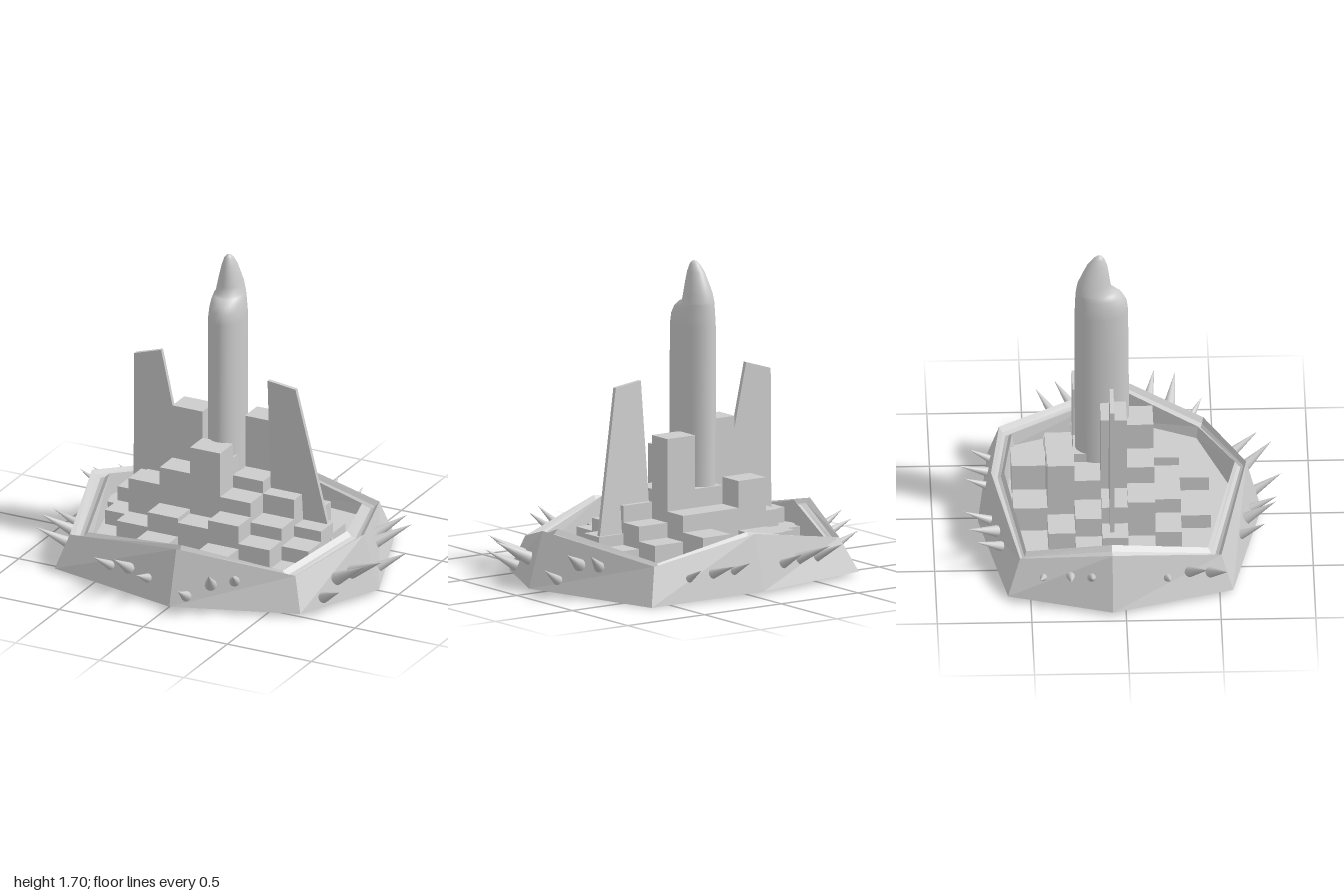
import * as THREE from 'three';

const mat = new THREE.MeshStandardMaterial({ color: 0xcccccc });
const flat = new THREE.MeshStandardMaterial({ color: 0xcccccc, flatShading: true, side: THREE.DoubleSide });

function add(parent, geometry, name, material = mat) {
  const mesh = new THREE.Mesh(geometry, material);
  mesh.name = name;
  parent.add(mesh);
  return mesh;
}

// Surface through a list of closed rings of [x, y, z] points
function loft(rings) {
  const n = rings[0].length, index = [];
  for (let r = 0; r < rings.length - 1; r++) {
    for (let i = 0; i < n; i++) {
      const a = r * n + i, b = r * n + (i + 1) % n;
      index.push(a, a + n, b, b, a + n, b + n);
    }
  }
  const g = new THREE.BufferGeometry();
  g.setAttribute('position', new THREE.Float32BufferAttribute(rings.flat(2), 3));
  g.setIndex(index);
  g.computeVertexNormals();
  return g;
}

// Eight-cornered base: outer foot, raised ridge, grooved rim, sunken floor
function makeBase() {
  const foot = [[-0.78, -0.62], [-0.06, -0.76], [0.62, -0.69], [0.9, 0.03], [0.68, 0.51], [0.02, 0.74], [-0.75, 0.57], [-0.95, -0.07]];
  const ridge = [[-0.7, -0.555], [-0.05, -0.69], [0.56, -0.63], [0.81, 0.03], [0.62, 0.45], [0.02, 0.66], [-0.69, 0.51], [-0.86, -0.07]];
  const inner = [[-0.63, -0.52], [-0.05, -0.62], [0.49, -0.565], [0.71, 0.03], [0.53, 0.42], [0.02, 0.6], [-0.62, 0.44], [-0.755, -0.07]];
  const top = i => (i % 2 ? 0.32 : 0.205);
  const rings = [
    foot.map(() => [0, 0.02, 0]),
    foot.map(([x, z], i) => [x, i === 2 ? 0 : 0.02, z]),
  ];
  for (let s = 0; s <= 4; s++) {
    const t = s / 4;
    rings.push(ridge.map(([x, z], i) => [
      x + (inner[i][0] - x) * t,
      top(i) - 0.035 * Math.sin(Math.PI * t),
      z + (inner[i][1] - z) * t,
    ]));
  }
  rings.push(inner.map(([x, z]) => [x * 0.98, 0.14, z * 0.98]));
  rings.push(inner.map(() => [0, 0.14, 0]));
  return loft(rings).toNonIndexed();
}

// Stepped blocks: heights by row (back to front) and column (right to left side)
const colEdges = [-0.66, -0.52, -0.335, -0.155, 0.025, 0.205, 0.39, 0.55];
const rowEdges = [-0.58, -0.4, -0.257, -0.118, 0.02, 0.165, 0.305, 0.465];
const heights = [
  [0, 0, 0.28, 0, 0.31, 0, 0],
  [0, 0.24, 0.545, 0.4, 0.4, 0.26, 0],
  [0.22, 0.33, 0.45, 0.5, 0.79, 0.34, 0.22],
  [0.3, 0.4, 0.83, 0.6, 0.5, 0.43, 0.28],
  [0.22, 0.43, 0.53, 0.68, 0.43, 0.32, 0.22],
  [0, 0.24, 0.325, 0.3, 0.35, 0.25, 0],
  [0, 0, 0.22, 0, 0.22, 0, 0],
];

function addBlocks(parent) {
  const blocks = new THREE.Group();
  blocks.name = 'steppedBlocks';
  heights.forEach((row, r) => row.forEach((h, c) => {
    if (!h) return;
    const x0 = colEdges[c], x1 = colEdges[c + 1], z0 = rowEdges[r], z1 = rowEdges[r + 1];
    const g = new THREE.BoxGeometry(x1 - x0, h - 0.1, z1 - z0);
    g.translate((x0 + x1) / 2, (h + 0.1) / 2, (z0 + z1) / 2);
    add(blocks, g, 'block');
  }));
  const end = new THREE.BoxGeometry(0.085, 0.1, 0.138).translate(-0.7, 0.15, -0.049);
  add(blocks, end, 'endBlock');
  parent.add(blocks);
}

// Oval tower with a stepped shoulder: [y, half width, front z, back z] about its axis
const towerSections = [
  [0.3, 0.1, 0.15, -0.135], [0.8, 0.1, 0.15, -0.14], [1.35, 0.1, 0.145, -0.14],
  [1.41, 0.094, 0.137, -0.138], [1.45, 0.088, 0.115, -0.136], [1.475, 0.082, 0.085, -0.134],
  [1.485, 0.077, 0.058, -0.133], [1.53, 0.068, 0.05, -0.125], [1.58, 0.056, 0.043, -0.103],
  [1.64, 0.04, 0.033, -0.075], [1.68, 0.025, 0.018, -0.042], [1.695, 0.013, 0.006, -0.024],
  [1.7, 0, -0.008, -0.008],
];

function makeTower() {
  const n = 32;
  return loft(towerSections.map(([y, rx, f, b]) => Array.from({ length: n }, (_, i) => {
    const a = (i / n) * Math.PI * 2;
    return [-Math.cos(a) * rx, y, (f + b) / 2 - Math.sin(a) * (f - b) / 2];
  })));
}

// Thin upright fin, optionally leaning along z
function makeFin(points, z, lean) {
  const shape = new THREE.Shape(points.map(p => new THREE.Vector2(...p)));
  const g = new THREE.ExtrudeGeometry(shape, { depth: 0.022, bevelEnabled: false });
  g.translate(0, 0, z - 0.011);
  const p = g.attributes.position;
  for (let i = 0; i < p.count; i++) p.setZ(i, p.getZ(i) + lean * (p.getY(i) - 1.07));
  g.computeVertexNormals();
  return g;
}

// Spikes as base x, y, z then tip x, y, z, grouped by side
const spikes = {
  back: [
    [-0.48, 0.14, -0.65, -0.56, 0.22, -0.78], [-0.35, 0.15, -0.67, -0.45, 0.23, -0.82], [-0.23, 0.14, -0.7, -0.25, 0.21, -0.84],
    [0.1, 0.14, -0.71, 0.08, 0.2, -0.83], [0.23, 0.14, -0.7, 0.2, 0.2, -0.855], [0.37, 0.12, -0.67, 0.375, 0.19, -0.8],
  ],
  left: [
    [0.7, 0.17, -0.33, 0.83, 0.26, -0.43], [0.75, 0.17, -0.22, 0.91, 0.26, -0.33], [0.82, 0.08, -0.12, 0.955, 0.16, -0.185],
    [0.8, 0.15, 0.155, 1, 0.26, 0.2], [0.77, 0.15, 0.27, 0.96, 0.27, 0.31], [0.74, 0.07, 0.36, 0.88, 0.16, 0.45],
  ],
  front: [
    [0.1, 0.08, 0.7, 0.13, 0.17, 0.85], [0.22, 0.15, 0.65, 0.285, 0.27, 0.8], [0.33, 0.17, 0.59, 0.395, 0.26, 0.73],
    [-0.14, 0.13, 0.68, -0.135, 0.2, 0.82], [-0.265, 0.15, 0.65, -0.275, 0.26, 0.81], [-0.39, 0.13, 0.62, -0.425, 0.22, 0.75],
  ],
  right: [
    [-0.74, 0.13, 0.45, -0.88, 0.22, 0.535], [-0.76, 0.15, 0.34, -0.905, 0.25, 0.43], [-0.8, 0.14, 0.22, -0.93, 0.2, 0.235],
    [-0.83, 0.17, -0.18, -0.99, 0.26, -0.18], [-0.81, 0.17, -0.29, -0.97, 0.23, -0.29], [-0.78, 0.14, -0.43, -0.9, 0.2, -0.45],
  ],
};

function addSpikes(parent) {
  for (const [side, list] of Object.entries(spikes)) {
    const group = new THREE.Group();
    group.name = side + 'Spikes';
    for (const s of list) {
      const base = new THREE.Vector3(...s.slice(0, 3));
      const dir = new THREE.Vector3(...s.slice(3)).sub(base);
      const len = dir.length();
      const g = new THREE.ConeGeometry(0.16 * len, len, 12).translate(0, len / 2, 0);
      const mesh = add(group, g, 'spike');
      mesh.position.copy(base);
      mesh.quaternion.setFromUnitVectors(new THREE.Vector3(0, 1, 0), dir.normalize());
    }
    parent.add(group);
  }
}

export function createModel() {
  const model = new THREE.Group();
  model.name = 'towerOnSpikedBase';
  add(model, makeBase(), 'base', flat);
  addBlocks(model);

  const tower = add(model, makeTower(), 'ovalTower');
  tower.position.set(-0.07, 0, -0.11);
  tower.rotation.y = 0.12;

  add(model, makeFin([[-0.605, 0.15], [-0.23, 0.15], [-0.44, 1.1], [-0.6, 1.05]], -0.065, 0), 'rightFin');
  add(model, makeFin([[0.2, 0.15], [0.56, 0.15], [0.38, 1.05], [0.215, 1.07]], -0.022, 0.09), 'leftFin');

  addSpikes(model);
  return model;
}
